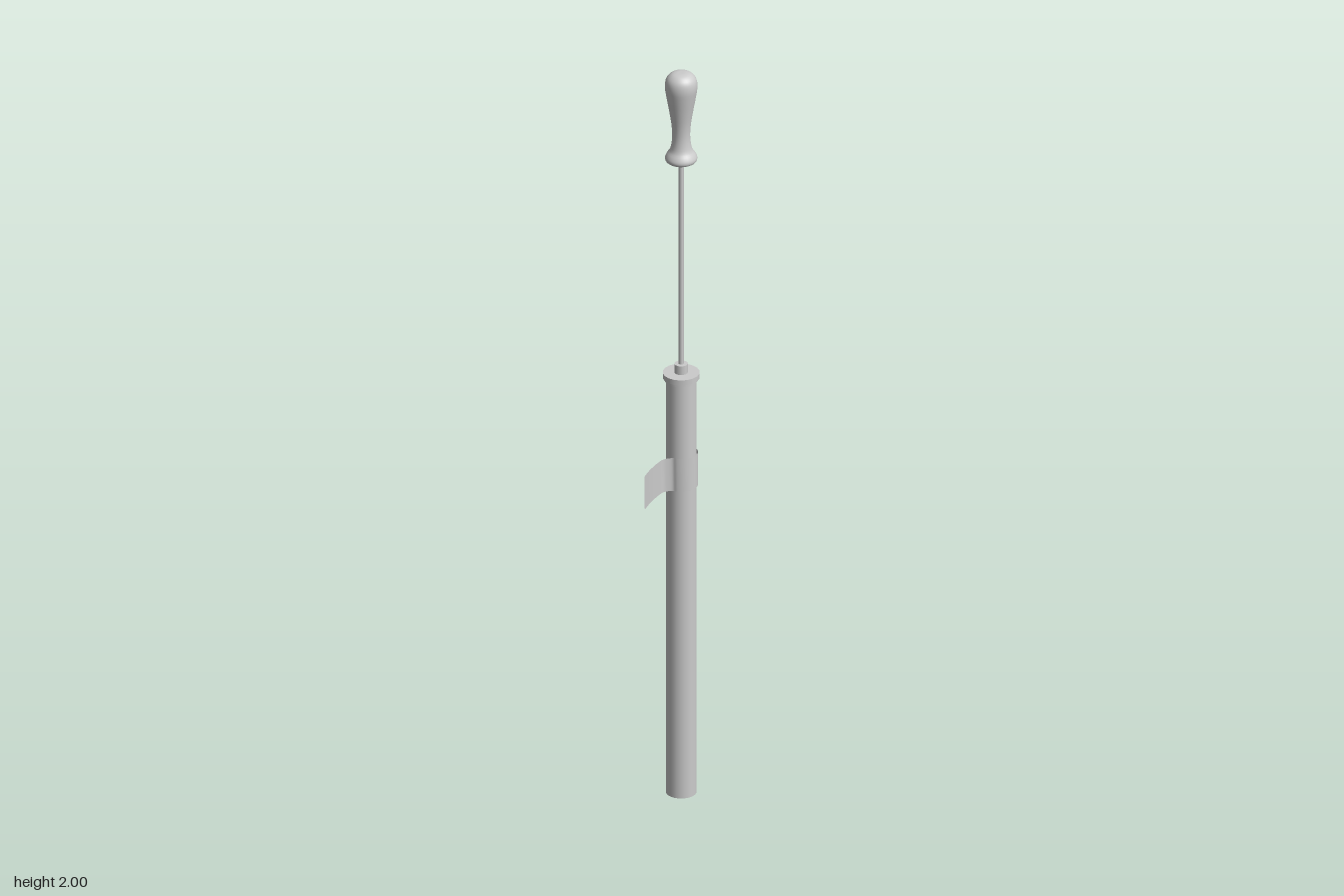
import * as THREE from 'three';

const material = new THREE.MeshStandardMaterial({ color: 0xcccccc });
const thin = new THREE.MeshStandardMaterial({ color: 0xcccccc, side: THREE.DoubleSide });

export function createModel() {
  const model = new THREE.Group();
  const add = (name, geometry, mat = material) => {
    const mesh = new THREE.Mesh(geometry, mat);
    mesh.name = name;
    model.add(mesh);
    return mesh;
  };
  // Upright cylinder between two heights
  const post = (name, r, y0, y1, sides) =>
    add(name, new THREE.CylinderGeometry(r, r, y1 - y0, sides).translate(0, (y0 + y1) / 2, 0));

  post('barrel', 0.038, 0, 1.155, 32);
  post('capLip', 0.041, 1.145, 1.154, 18);
  post('cap', 0.046, 1.153, 1.167, 18);
  post('rodGuide', 0.017, 1.165, 1.191, 12);
  post('plungerRod', 0.0065, 1.15, 1.77, 12);

  // Turned handle: flat foot with a rounded rim, waist, bulb
  const foot = [[0, 1.752], [0.03, 1.752]].map(p => new THREE.Vector2(...p));
  const body = new THREE.SplineCurve([
    [0.03, 1.752], [0.038, 1.757], [0.04, 1.765], [0.036, 1.775], [0.027, 1.79],
    [0.0225, 1.82], [0.024, 1.855], [0.03, 1.895], [0.037, 1.935], [0.0405, 1.962],
    [0.037, 1.983], [0.025, 1.996], [0.01, 2], [0, 2],
  ].map(p => new THREE.Vector2(...p))).getPoints(44);
  body.forEach(p => { p.x = Math.max(p.x, 0); p.y = Math.min(p.y, 2); });
  add('handleFoot', new THREE.LatheGeometry(foot, 32));
  add('handle', new THREE.LatheGeometry(body, 32));

  // Band round the +x half of the barrel, flaring into two wings
  const wing = [[-0.018, 0.046], [-0.027, 0.055], [-0.032, 0.071], [-0.036, 0.095],
    [-0.039, 0.125], [-0.039, 0.157]];
  const wrap = [];
  for (let i = 0; i <= 14; i++) {
    const a = THREE.MathUtils.lerp(-1.75, 1.75, i / 14);
    wrap.push([0.0405 * Math.cos(a), 0.0405 * Math.sin(a)]);
  }
  const path = new THREE.CatmullRomCurve3(
    [...wing.map(([x, z]) => [x, -z]).reverse(), ...wrap, ...wing]
      .map(([x, z]) => new THREE.Vector3(x, 0, z)));
  const steps = 90, y0 = 0.855, height = 0.09, half = 0.001;
  const strap = new THREE.PlaneGeometry(1, 1, steps, 1);
  const pos = strap.attributes.position;
  for (let i = 0; i < pos.count; i++) {
    const p = path.getPoint(Math.min(1, Math.max(0, pos.getX(i) + 0.5)));
    pos.setXYZ(i, p.x, y0 + (pos.getY(i) + 0.5) * height, p.z);
  }
  strap.computeVertexNormals();
  // Two offset skins give the strap its thickness
  for (const [name, side] of [['strapOuter', 1], ['strapInner', -1]]) {
    const skin = strap.clone();
    const q = skin.attributes.position, n = strap.attributes.normal;
    for (let i = 0; i < q.count; i++) {
      q.setX(i, q.getX(i) + n.getX(i) * half * side);
      q.setZ(i, q.getZ(i) + n.getZ(i) * half * side);
    }
    add(name, skin, thin);
  }
  return model;
}
